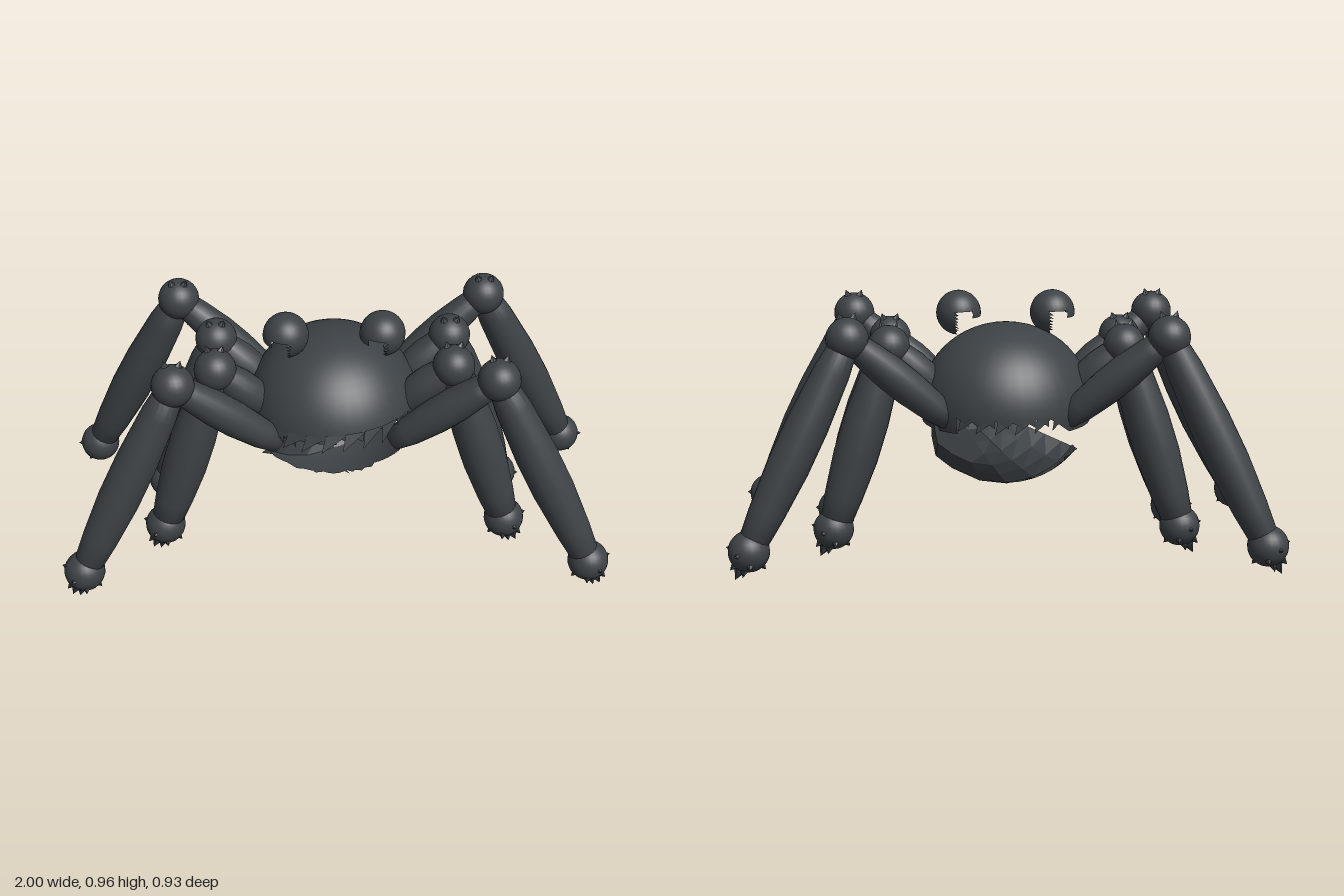
import * as THREE from 'three';

const solidMat = new THREE.MeshStandardMaterial({ color: 0x3d4246 });
const sheetMat = new THREE.MeshStandardMaterial({ color: 0x3d4246, side: THREE.DoubleSide });
const V = (x, y, z) => new THREE.Vector3(x, y, z);

function add(parent, name, geometry, position, material = solidMat) {
  const mesh = new THREE.Mesh(geometry, material);
  mesh.name = name;
  if (position) mesh.position.copy(position);
  parent.add(mesh);
  return mesh;
}

// Sphere that keeps only the triangles whose centre (in radii) passes a test
function brokenSphere(radius, w, h, keep) {
  const g = new THREE.SphereGeometry(radius, w, h);
  const p = g.attributes.position;
  const index = g.index.array;
  const kept = [];
  for (let i = 0; i < index.length; i += 3) {
    const c = V(0, 0, 0);
    for (let k = 0; k < 3; k++) c.add(V(0, 0, 0).fromBufferAttribute(p, index[i + k]));
    c.multiplyScalar(1 / (3 * radius));
    if (keep(c)) kept.push(index[i], index[i + 1], index[i + 2]);
  }
  g.setIndex(kept);
  return g;
}

// Surface from a list of triangle corners
function sheet(parent, name, corners) {
  const g = new THREE.BufferGeometry();
  g.setAttribute('position', new THREE.Float32BufferAttribute(corners, 3));
  g.computeVertexNormals();
  add(parent, name, g, null, sheetMat);
}

// Spindle-shaped limb between two points
function limb(parent, name, a, b, radius) {
  const dir = b.clone().sub(a);
  const len = dir.length();
  const shape = [[0, 0], [0.62, 0], [0.85, 0.15], [1, 0.4], [1, 0.6], [0.85, 0.82], [0.65, 1], [0, 1]];
  const pts = shape.map(([r, t]) => new THREE.Vector2(r * radius, t * len));
  const mesh = add(parent, name, new THREE.LatheGeometry(pts, 20), a);
  mesh.quaternion.setFromUnitVectors(V(0, 1, 0), dir.normalize());
}

// Short pointed tuft starting at a point and reaching along an offset
function spike(parent, name, from, offset, radius) {
  const g = new THREE.ConeGeometry(radius, offset.length(), 6);
  g.translate(0, offset.length() / 2, 0);
  const mesh = add(parent, name, g, from);
  mesh.quaternion.setFromUnitVectors(V(0, 1, 0), offset.clone().normalize());
}

function leg(name, root, knee, foot, radius) {
  const g = new THREE.Group();
  g.name = name;
  const side = Math.sign(foot.x), front = Math.sign(foot.z);
  limb(g, 'thigh', root, knee, 0.064);
  limb(g, 'shin', knee, foot, radius);
  add(g, 'kneeJoint', new THREE.SphereGeometry(0.076, 24, 16), knee);
  add(g, 'footJoint', new THREE.SphereGeometry(0.074, 24, 16), foot);
  // Ragged tufts around the joints
  const tufts = [[0.05, -0.1, 0.015], [0.02, -0.085, 0.04], [0.083, 0.01, -0.02], [0.065, -0.06, 0.03],
    [-0.01, -0.05, 0.075], [0.04, 0, 0.075], [-0.06, -0.06, 0.02]];
  for (const [x, y, z] of tufts) spike(g, 'footTuft', foot, V(side * x, y, front * z), 0.06);
  for (const x of [0.03, -0.03]) spike(g, 'kneeTuft', knee, V(side * x, 0.09, -front * 0.02), 0.06);
  return g;
}

export function createModel() {
  const model = new THREE.Group();
  model.name = 'spider';
  const centre = V(0, 0.563, -0.015);

  // Hollow dome of the body, its rim higher at the front and lower by the back legs
  const dome = brokenSphere(0.315, 40, 30, (c) =>
    c.y > 0.04 + 0.1 * c.z + 0.15 * c.x * Math.max(c.z, 0) ||
    (Math.abs(c.x) > 0.62 && c.z < 0 && c.y > -0.18));
  dome.scale(1, 0.94, 1);
  add(model, 'bodyDome', dome, centre, sheetMat);

  // Strip across the bottom of the body
  const belly = brokenSphere(0.315, 40, 30, (c) => c.y < -0.58 && c.z < 0.2 && c.z > -0.4);
  belly.scale(1, 0.94, 1);
  add(model, 'belly', belly, centre, sheetMat);

  // Fan of slivers from the left rim to the belly, bulging backwards
  const apex = V(0.23, 0.64, -0.14);
  const arc = [[-0.27, 0.37, 0.04], [-0.2, 0.325, 0], [-0.1, 0.285, -0.05], [0, 0.275, -0.1],
    [0.1, 0.295, -0.13], [0.2, 0.345, -0.14], [0.26, 0.39, -0.13], [0.275, 0.47, -0.14],
    [0.27, 0.58, -0.15]].map((p) => V(...p));
  const rows = 8;
  const onFan = (i, j) => {
    const p = apex.clone().lerp(arc[i], j / rows);
    p.z -= Math.min(i, 2) * 0.05 * Math.sin((Math.PI * j) / rows);
    p.z = Math.max(p.z, -0.2);
    return p.toArray();
  };
  const fan = [];
  for (let i = 0; i < arc.length - 1; i++) {
    for (let j = 0; j < rows; j++) {
      const a = onFan(i, j), b = onFan(i, j + 1), c = onFan(i + 1, j + 1), d = onFan(i + 1, j);
      fan.push(...a, ...b, ...c);
      if (j > 0) fan.push(...a, ...c, ...d);
    }
  }
  sheet(model, 'innerFan', fan);

  // Ragged fringe of flat slivers around the dome's rim
  const fringe = [];
  for (let i = 0; i < 28; i++) {
    const a = (i / 28) * Math.PI * 2;
    const at = (turn, y, r) => [r * Math.sin(a + turn), y, r * Math.cos(a + turn) - 0.015];
    const front = Math.max(Math.cos(a), 0);
    const top = 0.6 + 0.03 * Math.cos(a) + 0.03 * Math.sin(a) * front;
    fringe.push(...at(-0.12, top, 0.312), ...at(-0.16, top - 0.06, 0.315 + 0.02 * front), ...at(0.12, top, 0.312));
  }
  sheet(model, 'rimFringe', fringe);

  for (const s of [-1, 1]) {
    const sideName = s > 0 ? 'left' : 'right';

    // Hollow eyes, broken away below on one side
    const eye = brokenSphere(0.082, 28, 20, (c) => c.y > 0.15 || c.x > 0.1 || (c.x < -0.65 && c.y > -0.2));
    add(model, sideName + 'Eye', eye, V(s * 0.172, 0.89, 0.035), sheetMat);

    // Four legs per side: long outer pair, shorter inner pair
    for (const f of [-1, 1]) {
      const end = f > 0 ? 'Front' : 'Back';
      model.add(leg(sideName + end + 'OuterLeg', V(s * 0.21, 0.54, f * 0.2),
        V(s * 0.565, 0.85, f * 0.28), V(s * 0.918, 0.115, f * 0.39), 0.076));
      model.add(leg(sideName + end + 'InnerLeg', V(s * 0.23, 0.6, f * 0.07),
        V(s * 0.425, 0.79, f * 0.1), V(s * 0.635, 0.12, f * 0.138), 0.082));
    }
  }
  return model;
}
